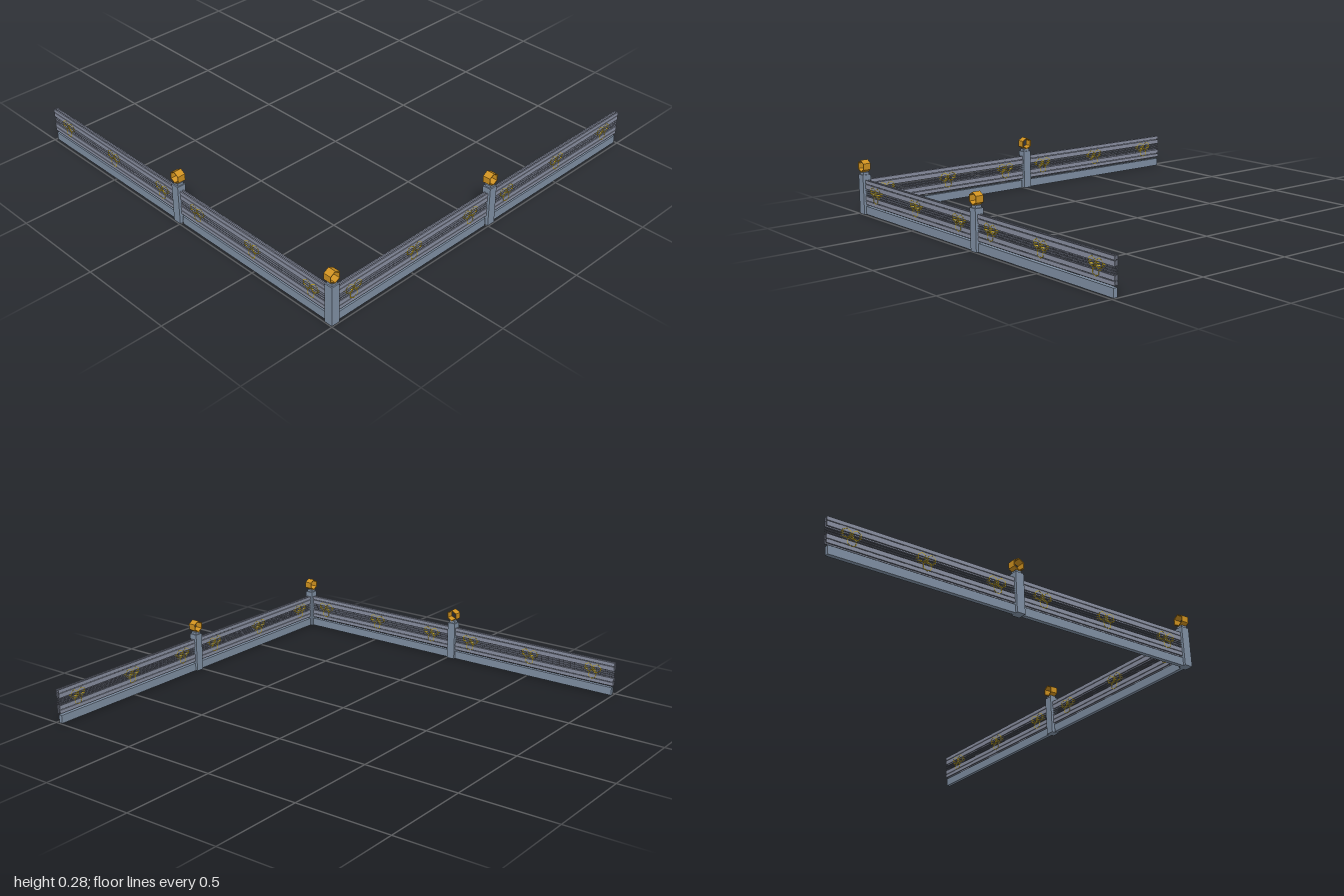
import * as THREE from 'three';

const mat = (name, color) => {
  const m = new THREE.MeshStandardMaterial({ color });
  m.name = name;
  return m;
};

const CORNER = 0.975, MID = -0.022, POST = 0.044;

// Open hexagonal ring with a point at the top, axis along z
function hexRing(radius, wall, depth) {
  const outline = (r) => Array.from({ length: 6 }, (_, i) => {
    const a = Math.PI / 2 + i * Math.PI / 3;
    return new THREE.Vector2(r * Math.cos(a), r * Math.sin(a));
  });
  const shape = new THREE.Shape(outline(radius));
  shape.holes.push(new THREE.Path(outline(radius - wall)));
  const geo = new THREE.ExtrudeGeometry(shape, { depth, bevelEnabled: false });
  return geo.translate(0, 0, -depth / 2);
}

export function createModel() {
  const postGrey = mat('postGrey', 0x8090a4);
  const slatGrey = mat('slatGrey', 0x8a90a2);
  const amber = mat('amber', 0xd0921f);
  const yellowGold = mat('yellowGold', 0xc9ab25);

  const add = (parent, name, geo, material, x, y, z) => {
    const m = new THREE.Mesh(geo, material);
    m.name = name;
    m.position.set(x, y, z);
    parent.add(m);
    return m;
  };
  const box = (parent, name, material, x0, x1, y0, y1, z0, z1) =>
    add(parent, name, new THREE.BoxGeometry(x1 - x0, y1 - y0, z1 - z0), material,
      (x0 + x1) / 2, (y0 + y1) / 2, (z0 + z1) / 2);

  const topRing = hexRing(0.032, 0.005, 0.04);
  const smallRing = hexRing(0.024, 0.003, 0.0215);

  // Square post, short cap and hexagonal finial
  function post(name, x) {
    const g = new THREE.Group();
    g.name = name;
    const h = POST / 2;
    box(g, 'postShaft', postGrey, -h, h, 0, 0.203, -h, h);
    box(g, 'postCap', postGrey, -0.016, 0.016, 0.203, 0.215, -0.016, 0.016);
    add(g, 'hexFinial', topRing, amber, 0, 0.245, 0);
    g.position.x = x;
    return g;
  }

  // Broad slats above and below, with thin wires across the open middle
  const slats = [
    [0.052, 0.070], [0.073, 0.094], [0.099, 0.102], [0.110, 0.113],
    [0.121, 0.124], [0.132, 0.155], [0.158, 0.176],
  ];

  // One fence panel between x0 and x1
  function panel(x0, x1, center) {
    const g = new THREE.Group();
    g.name = 'fencePanel';
    box(g, 'baseBeam', postGrey, x0 + 0.007, x1, 0, 0.042, -0.01, 0.01);
    for (const [y0, y1] of slats) {
      box(g, 'frontSlat', slatGrey, x0, x1, y0, y1, 0.004, 0.01);
      box(g, 'backSlat', slatGrey, x0, x1, y0, y1, -0.01, -0.004);
    }
    // Clusters of three hexagons
    for (const i of [-1, 0, 1]) {
      const c = new THREE.Group();
      c.name = 'hexCluster';
      for (const [x, y] of [[-0.024, 0.127], [0.024, 0.127], [0, 0.09]])
        add(c, 'hexOrnament', smallRing, yellowGold, x, y, 0);
      c.position.x = center + i * 0.371;
      g.add(c);
    }
    return g;
  }

  // A run of two panels with a middle post
  function run(name) {
    const g = new THREE.Group();
    g.name = name;
    g.add(panel(-1, MID - POST / 2, -0.509));
    g.add(panel(MID + POST / 2, CORNER - POST / 2, 0.487));
    g.add(post('middlePost', MID));
    return g;
  }

  const model = new THREE.Group();
  model.name = 'cornerFence';

  const frontRun = run('frontRun');
  frontRun.position.z = CORNER;
  model.add(frontRun);

  const sideRun = run('sideRun');
  sideRun.rotation.y = -Math.PI / 2;
  sideRun.position.x = CORNER;
  sideRun.add(post('cornerPost', CORNER));
  model.add(sideRun);

  return model;
}
